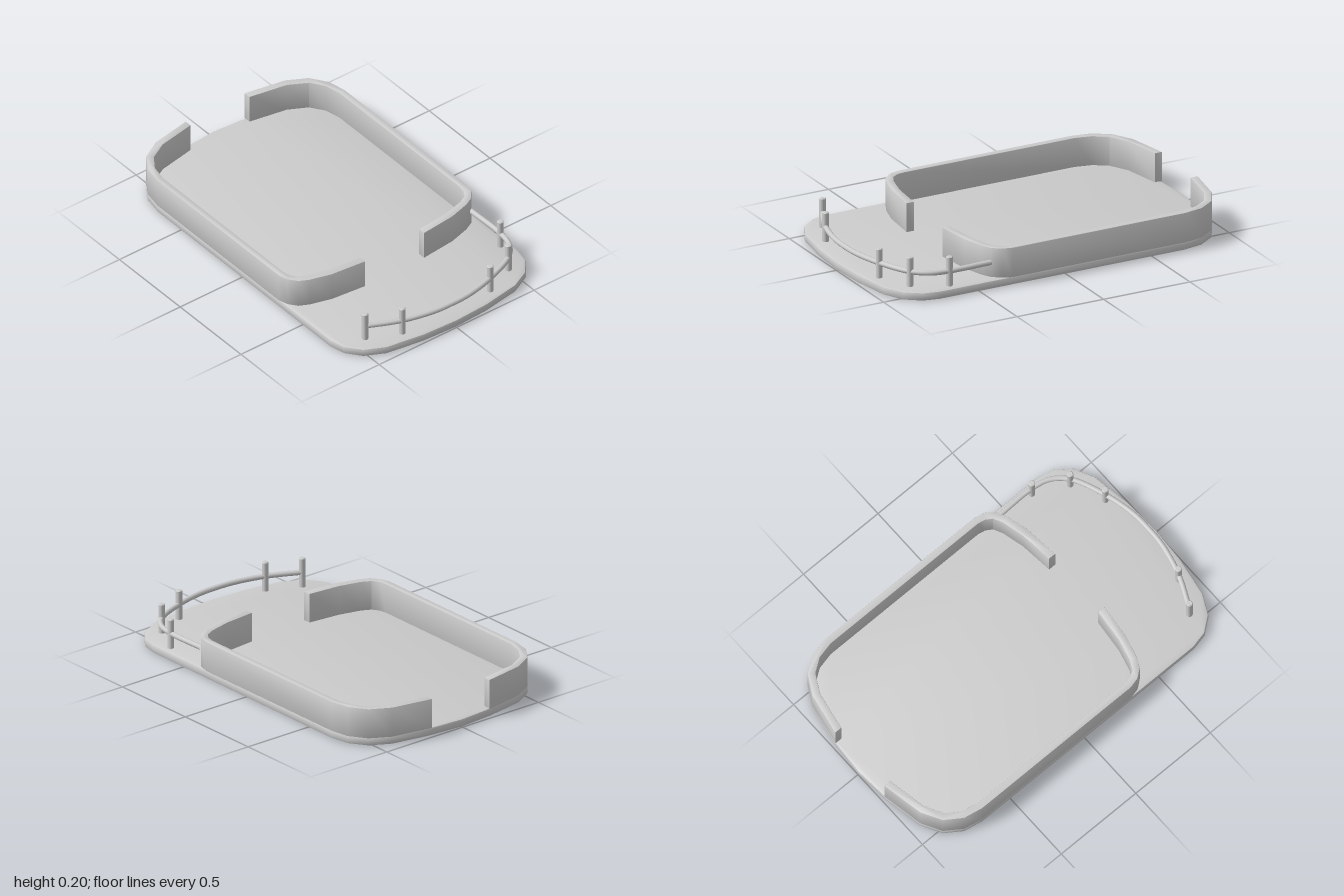
import * as THREE from 'three';
import { toCreasedNormals } from 'three/addons/utils/BufferGeometryUtils.js';

const material = new THREE.MeshStandardMaterial({ color: 0xcccccc });

// Extrude a plan outline (x, depth) upwards from y0 to y1 with softened edges
function slab(name, points, y0, y1, bevel) {
  const shape = new THREE.Shape(points.map(([x, d]) => new THREE.Vector2(x, d)));
  const geometry = new THREE.ExtrudeGeometry(shape, {
    depth: y1 - y0 - 2 * bevel, bevelEnabled: true, bevelThickness: bevel,
    bevelSize: bevel, bevelOffset: -bevel, bevelSegments: 2,
  });
  geometry.rotateX(-Math.PI / 2).translate(0, y0 + bevel, 0);
  const mesh = new THREE.Mesh(toCreasedNormals(geometry, 0.6), material);
  mesh.name = name;
  return mesh;
}

const mirror = (points) => points.map(([x, d]) => [x, -d]);

export function createModel() {
  const model = new THREE.Group();
  model.name = 'railedPlatform';

  // Base plate: half outline from the +x tip to the -x tip, then mirrored
  const half = [
    [1, 0], [0.99, 0.2], [0.955, 0.417], [0.9, 0.525], [0.82, 0.587], [0.73, 0.607],
    [-0.69, 0.607], [-0.795, 0.587], [-0.885, 0.525], [-0.945, 0.417], [-0.985, 0.2], [-1, 0],
  ];
  model.add(slab('basePlate', [...half, ...mirror(half).slice(1, -1).reverse()], 0, 0.046, 0.012));

  // Curved walls: outer edge, then back along the inner edge
  const wall = [
    [-0.987, 0.19], [-0.945, 0.417], [-0.885, 0.525], [-0.795, 0.587], [-0.69, 0.607],
    [0.31, 0.607], [0.365, 0.593], [0.41, 0.558], [0.437, 0.505], [0.47, 0.39], [0.49, 0.19],
    [0.448, 0.19], [0.43, 0.37], [0.4, 0.49], [0.375, 0.54], [0.34, 0.562], [0.3, 0.57],
    [-0.69, 0.57], [-0.78, 0.55], [-0.853, 0.5], [-0.907, 0.4], [-0.946, 0.19],
  ];
  model.add(slab('backWall', wall, 0.042, 0.205, 0.004));
  model.add(slab('frontWall', mirror(wall), 0.042, 0.205, 0.004));

  // Handrail sweeping around the open end
  const path = new THREE.CatmullRomCurve3([
    [0.41, -0.555], [0.65, -0.557], [0.75, -0.535], [0.83, -0.468], [0.91, -0.288],
    [0.95, -0.12], [0.956, 0], [0.95, 0.11], [0.91, 0.28], [0.83, 0.458],
  ].map(([x, z]) => new THREE.Vector3(x, 0.125, z)));
  const rail = new THREE.Mesh(new THREE.TubeGeometry(path, 64, 0.014, 12), material);
  rail.name = 'handrail';
  model.add(rail);

  // Rail posts with a slightly chamfered top
  const profile = [[0, 0.03], [0.017, 0.03], [0.017, 0.201], [0.013, 0.205], [0, 0.205]]
    .map(([r, y]) => new THREE.Vector2(r, y));
  const postGeometry = toCreasedNormals(new THREE.LatheGeometry(profile, 16), 0.6);
  for (const [x, z] of [[0.65, -0.557], [0.83, -0.468], [0.91, -0.288], [0.91, 0.28], [0.83, 0.458]]) {
    const post = new THREE.Mesh(postGeometry, material);
    post.name = 'railPost';
    post.position.set(x, 0, z);
    model.add(post);
  }
  return model;
}
